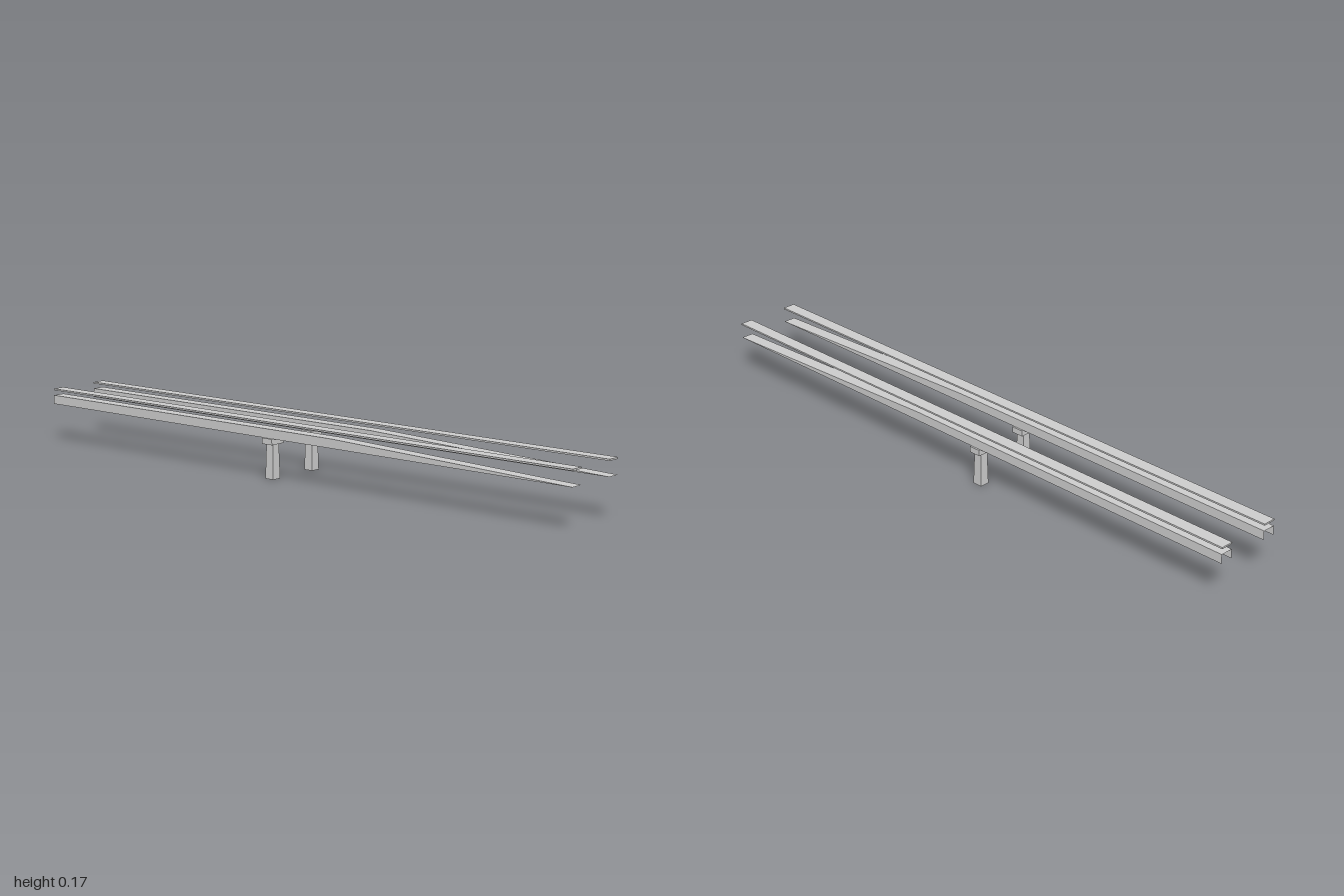
import * as THREE from 'three';

const material = new THREE.MeshStandardMaterial({ color: 0xcccccc, flatShading: true });
const openMaterial = new THREE.MeshStandardMaterial({ color: 0xcccccc, flatShading: true, side: THREE.DoubleSide });

const RAIL_X = 0.0885, RAIL_W = 0.041, PIER_Z = -0.075;
const CHANNEL_BASE = 0.124;

function part(name, geometry, mat, y, z = 0) {
  const mesh = new THREE.Mesh(geometry, mat);
  mesh.name = name;
  mesh.position.set(0, y, z);
  return mesh;
}

// Inverted U, open below and at the back, sloping down to the front tip
function channelGeometry() {
  const stations = [[-1, 0.152], [0.17, 0.152], [1, CHANNEL_BASE + 0.0005]]; // z, top height
  const h = RAIL_W / 2;
  const rings = stations.map(([z, top]) => [
    [h, CHANNEL_BASE, z], [h, top, z], [-h, top, z], [-h, CHANNEL_BASE, z],
  ]);
  const positions = [];
  for (let i = 0; i < rings.length - 1; i++) {
    for (let j = 0; j < 3; j++) {
      const a = rings[i][j], b = rings[i][j + 1], c = rings[i + 1][j + 1], d = rings[i + 1][j];
      positions.push(...a, ...b, ...c, ...a, ...c, ...d);
    }
  }
  const geometry = new THREE.BufferGeometry();
  geometry.setAttribute('position', new THREE.Float32BufferAttribute(positions, 3));
  geometry.computeVertexNormals();
  return geometry;
}

// Tapered square post, open at the ends
function postGeometry() {
  const r = Math.SQRT1_2;
  const geometry = new THREE.CylinderGeometry(0.026 * r, 0.031 * r, 0.106, 4, 1, true);
  geometry.rotateY(Math.PI / 4);
  return geometry;
}

function createRail(name) {
  const rail = new THREE.Group();
  rail.name = name;
  rail.add(
    part('topStrip', new THREE.BoxGeometry(RAIL_W, 0.005, 2), material, 0.171),
    part('channel', channelGeometry(), openMaterial, 0),
    part('postCap', new THREE.BoxGeometry(0.052, 0.018, 0.039), material, 0.115, PIER_Z),
    part('post', postGeometry(), openMaterial, 0.053, PIER_Z),
  );
  return rail;
}

export function createModel() {
  const model = new THREE.Group();
  model.name = 'railPair';
  for (const [name, side] of [['leftRail', 1], ['rightRail', -1]]) {
    const rail = createRail(name);
    rail.position.x = side * RAIL_X;
    model.add(rail);
  }
  return model;
}
